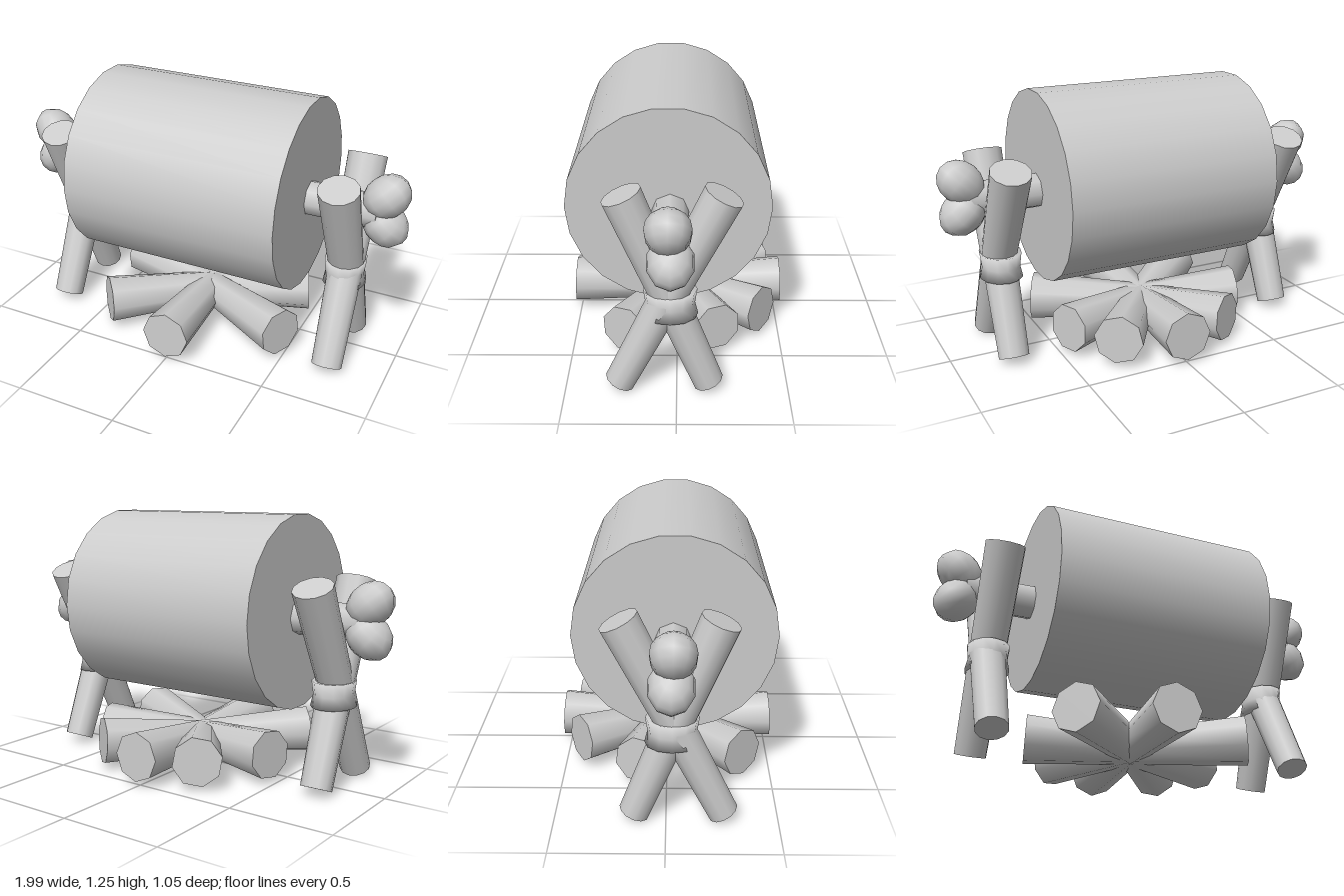
import * as THREE from 'three';

const material = new THREE.MeshStandardMaterial({ color: 0xcccccc });
const V = (x, y, z) => new THREE.Vector3(x, y, z);

function add(parent, name, geometry) {
  const mesh = new THREE.Mesh(geometry, material);
  mesh.name = name;
  parent.add(mesh);
  return mesh;
}

// Tapered round log running from point a (radius ra) to point b (radius rb)
function log(parent, name, a, b, ra, rb, sides) {
  const dir = b.clone().sub(a);
  const mesh = add(parent, name, new THREE.CylinderGeometry(rb, ra, dir.length(), sides));
  mesh.position.copy(a).add(b).multiplyScalar(0.5);
  mesh.quaternion.setFromUnitVectors(V(0, 1, 0), dir.normalize());
  return mesh;
}

export function createModel() {
  const model = new THREE.Group();
  model.name = 'spitRoast';

  // Meat drum and the bone that runs through it
  log(model, 'meat', V(-0.53, 0.8, 0.037), V(0.525, 0.8, 0.037), 0.457, 0.457, 22);
  log(model, 'bone', V(-0.86, 0.78, 0.03), V(0.86, 0.78, 0.03), 0.083, 0.083, 8);

  for (const side of [1, -1]) {
    // Two rounded knuckles at each end of the bone
    const knuckles = new THREE.Group();
    knuckles.name = side > 0 ? 'leftKnuckles' : 'rightKnuckles';
    model.add(knuckles);
    for (const [y, z, tilt] of [[0.865, 0.033, 0.75], [0.725, 0.024, -0.75]]) {
      const knob = add(knuckles, 'knuckle', new THREE.SphereGeometry(0.1, 10, 8));
      knob.position.set(side * 0.885, y, z);
      knob.rotation.z = side * tilt;
      knob.scale.set(1.2, 0.97, 1.02);
    }

    // Crossed support poles
    const support = new THREE.Group();
    support.name = side > 0 ? 'leftSupport' : 'rightSupport';
    support.position.x = side * 0.72;
    model.add(support);
    log(support, 'frontFootPole', V(0.01 * side, 0.035, 0.255), V(0, 0.95, -0.197), 0.07, 0.09, 12).scale.x = 1.06;
    log(support, 'backFootPole', V(0.01 * side, 0.035, -0.142), V(0, 0.95, 0.23), 0.07, 0.09, 12).scale.x = 1.06;

    // Waisted binding around the crossing
    const profile = [[0, 0.385], [0.122, 0.385], [0.108, 0.44], [0.118, 0.505], [0, 0.49]];
    const binding = add(support, 'binding',
      new THREE.LatheGeometry(profile.map(p => new THREE.Vector2(...p)), 12));
    binding.position.z = 0.028;
    binding.scale.x = 0.84;
  }

  // Firewood: logs fanning out from the middle, thicker at their outer ends
  const fire = new THREE.Group();
  fire.name = 'firewood';
  model.add(fire);
  const ends = [[0.005, 0.52], [0.49, 0.25], [0.47, -0.19], [0.31, -0.41],
    [0.005, -0.525], [-0.27, -0.42], [-0.48, -0.13], [-0.4, 0.36]];
  for (const [x, z] of ends) {
    log(fire, 'firewoodLog', V(0, 0.125, 0), V(x, 0.145, z), 0.082, 0.118, 8);
  }
  return model;
}
